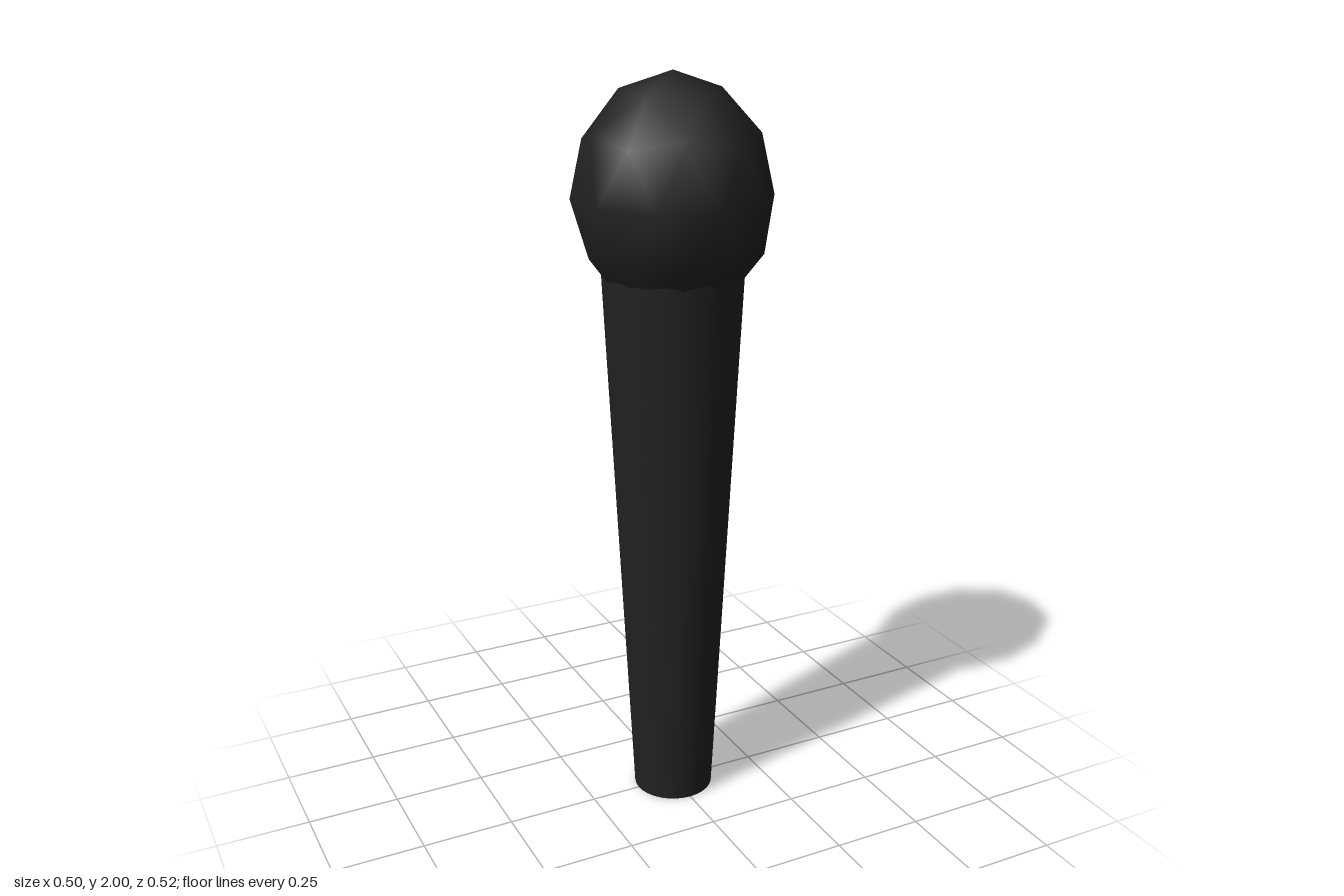
import * as THREE from 'three';

export function createModel() {
  const group = new THREE.Group();
  const material = new THREE.MeshStandardMaterial({ color: 0x222222 });

  const add = (name, geometry, y) => {
    const mesh = new THREE.Mesh(geometry, material);
    mesh.name = name;
    mesh.position.y = y;
    group.add(mesh);
  };

  // Tapered handle, narrow end on the ground
  const height = 1.5;
  add('handle', new THREE.CylinderGeometry(0.185, 0.11, height, 32), height / 2);

  // Smooth-shaded icosphere head, one corner turned to the top, stretched upwards
  const head = new THREE.IcosahedronGeometry(1, 1);
  head.rotateZ(-Math.atan(2 / (1 + Math.sqrt(5))));
  head.scale(0.261, 0.31, 0.261);
  add('head', head, 1.69);

  return group;
}
